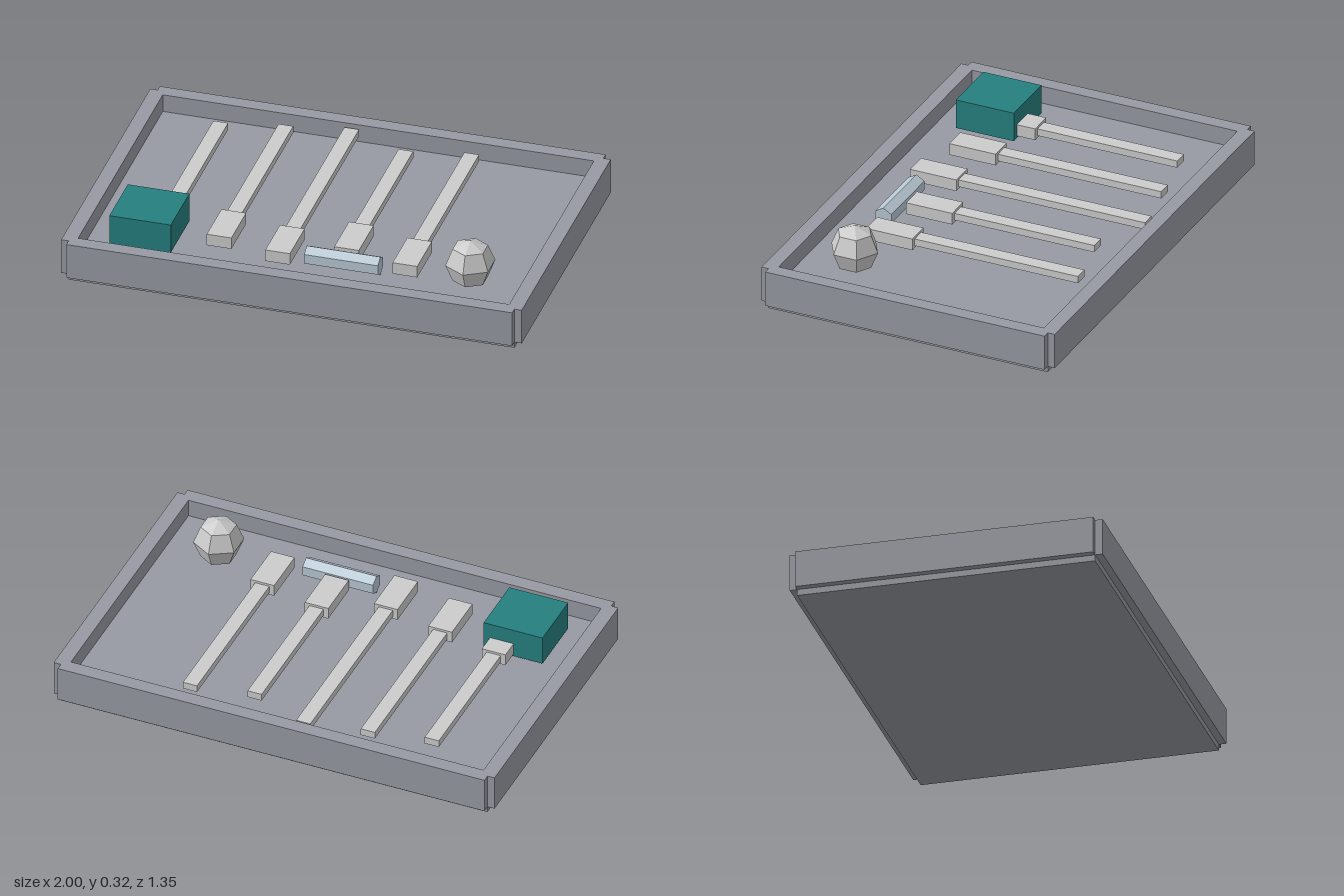
import * as THREE from 'three';

export function createModel() {
  const group = new THREE.Group();
  const mat = (color) => new THREE.MeshStandardMaterial({ color, flatShading: true });
  const trayMat = mat(0x969aa2);
  const metal = mat(0xcccccc);
  const teal = mat(0x267f7f);
  const paleBlue = mat(0xb8c8d4);

  const add = (name, geometry, material, x, y, z, parent = group) => {
    const mesh = new THREE.Mesh(geometry, material);
    mesh.name = name;
    mesh.position.set(x, y, z);
    parent.add(mesh);
    return mesh;
  };
  const box = (name, w, h, d, material, x, y, z, parent) =>
    add(name, new THREE.BoxGeometry(w, h, d), material, x, y, z, parent);

  // Tray: floor slab with four walls centred on its edges
  const W = 1.936, D = 1.286, T = 0.064, H = 0.16, FLOOR = 0.107;
  const tray = new THREE.Group();
  tray.name = 'tray';
  group.add(tray);
  box('trayFloor', W, FLOOR, D, trayMat, 0, FLOOR / 2, 0, tray);
  for (const s of [1, -1]) {
    box(s > 0 ? 'frontWall' : 'backWall', W, H, T, trayMat, 0, FLOOR, s * D / 2, tray);
    box(s > 0 ? 'leftWall' : 'rightWall', T, H, D, trayMat, s * W / 2, FLOOR, 0, tray);
  }

  // Row of tools: [x, far end of shaft, start of handle]
  const LEVEL = 0.16;
  const tools = [
    [-0.647, -0.487, 0.157],
    [-0.38, -0.54, 0.212],
    [-0.11, -0.593, 0.265],
    [0.157, -0.487, 0.157],
    [0.427, -0.54, 0.212],
  ];
  for (const [x, back, join] of tools) {
    const tool = new THREE.Group();
    tool.name = 'tool';
    group.add(tool);
    box('toolShaft', 0.064, 0.032, join - back, metal, x, LEVEL, (join + back) / 2, tool);
    box('toolHandle', 0.107, 0.053, 0.213, metal, x, LEVEL, join + 0.1065, tool);
  }

  // Teal block
  box('block', 0.267, 0.133, 0.267, teal, -0.698, 0.189, 0.375);

  // Six-sided vial lying along x, with one edge upward
  const vial = new THREE.CylinderGeometry(0.043, 0.043, 0.32, 6);
  vial.rotateY(Math.PI / 6).rotateZ(Math.PI / 2);
  add('vial', vial, paleBlue, 0.16, LEVEL, 0.422);

  // Faceted ball
  const ball = new THREE.SphereGeometry(0.107, 6, 4).rotateY(Math.PI / 2);
  add('ball', ball, metal, 0.696, 0.213, 0.375);

  return group;
}
